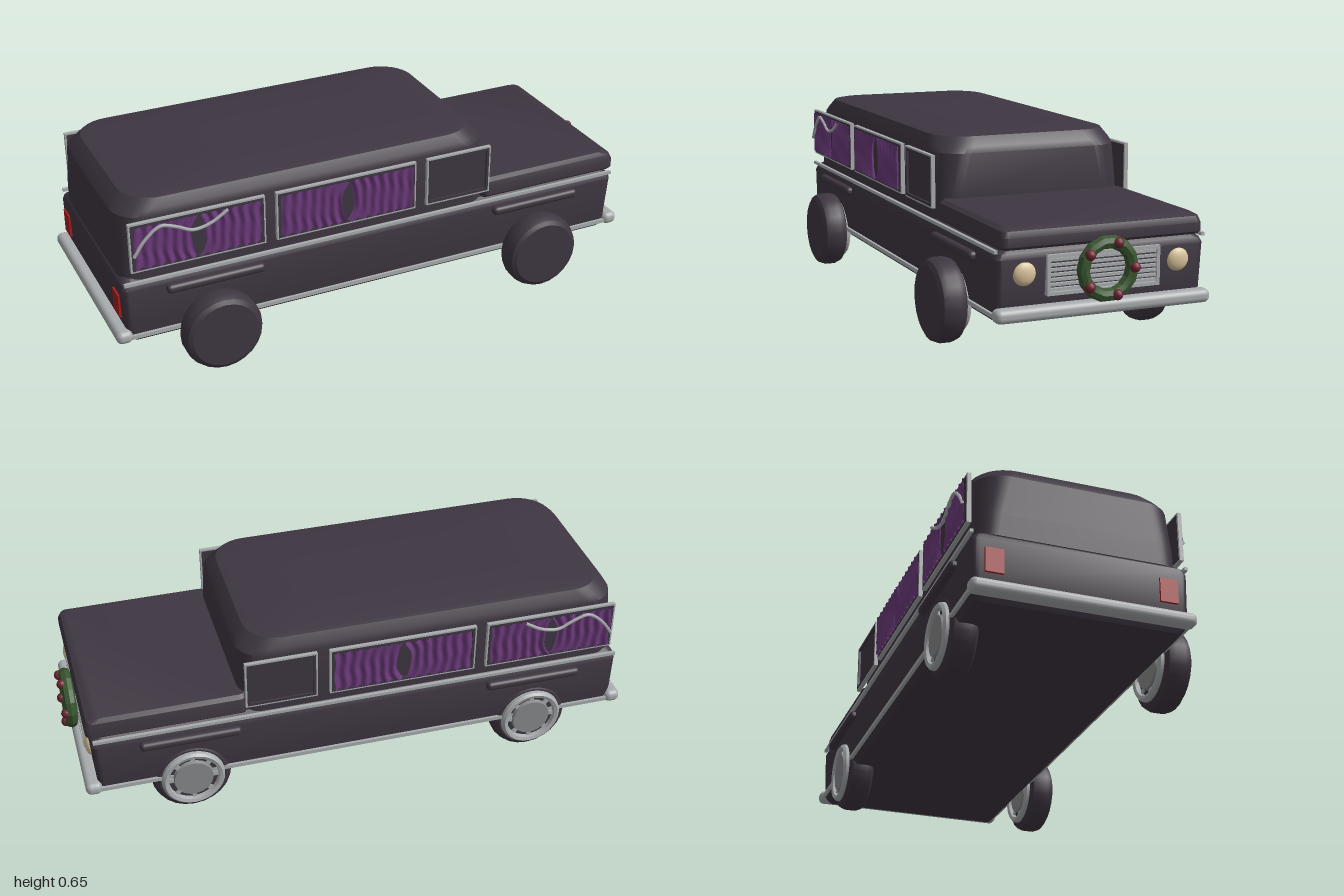
import * as THREE from 'three';
import { toCreasedNormals } from 'three/addons/utils/BufferGeometryUtils.js';
import { RoundedBoxGeometry } from 'three/addons/geometries/RoundedBoxGeometry.js';

const mat = (name, color, extra = {}) => {
  const m = new THREE.MeshStandardMaterial({ color, ...extra });
  m.name = name;
  return m;
};

// Stack of rounded rectangles [y, x0, x1, half depth, corner radius], closed at both ends
function loft(sections, seg = 6) {
  const pos = [], idx = [], n = 4 * (seg + 1);
  for (const [y, x0, x1, hz, r] of sections) {
    const corners = [[x1 - r, hz - r], [x0 + r, hz - r], [x0 + r, r - hz], [x1 - r, r - hz]];
    corners.forEach(([cx, cz], q) => {
      for (let i = 0; i <= seg; i++) {
        const a = (q + i / seg) * Math.PI / 2;
        pos.push(cx + r * Math.cos(a), y, cz + r * Math.sin(a));
      }
    });
  }
  const last = sections.length - 1;
  for (let k = 0; k < last; k++) {
    for (let i = 0; i < n; i++) {
      const a = k * n + i, b = k * n + (i + 1) % n;
      idx.push(a, a + n, b, b, a + n, b + n);
    }
  }
  for (let i = 1; i < n - 1; i++) {
    idx.push(0, i, i + 1, last * n, last * n + i + 1, last * n + i);
  }
  const g = new THREE.BufferGeometry();
  g.setAttribute('position', new THREE.Float32BufferAttribute(pos, 3));
  g.setIndex(idx);
  return toCreasedNormals(g, 0.5);
}

// Rectangular frame centred on the origin, facing z
function frameGeometry(w, h, t, d) {
  const rect = (S, a, b) => new S([[-a, -b], [a, -b], [a, b], [-a, b]].map(p => new THREE.Vector2(...p)));
  const shape = rect(THREE.Shape, w / 2, h / 2);
  shape.holes.push(rect(THREE.Path, w / 2 - t, h / 2 - t));
  return new THREE.ExtrudeGeometry(shape, { depth: d, bevelEnabled: false }).translate(0, 0, -d / 2);
}

// Pleated half curtain, its inner edge pinched in at mid height
function curtainGeometry(w, h, inner, side) {
  const g = new THREE.PlaneGeometry(w, h, 48, 8), p = g.attributes.position;
  for (let i = 0; i < p.count; i++) {
    const x = p.getX(i), y = p.getY(i);
    const u = 0.5 + inner * x / w;
    p.setX(i, x - inner * u * u * 0.026 * Math.cos(Math.PI * y / h) + 0.003 * Math.sin(y * 60 + x * 20));
    p.setZ(i, side * 0.006 * Math.sin(x * 165));
  }
  g.computeVertexNormals();
  return g;
}

export function createModel() {
  const paint = mat('body paint', 0x3e3641);
  const silver = mat('silver trim', 0xa9acae);
  const hubGrey = mat('hub grey', 0x88898b);
  const purple = mat('curtain purple', 0x6b3a7a, { side: THREE.DoubleSide });
  const green = mat('wreath green', 0x38562f);
  const berry = mat('berry red', 0x6c2430);
  const cream = mat('lamp cream', 0xdac59c);
  const red = mat('tail lamp red', 0xa61c1e);

  const root = new THREE.Group();
  root.name = 'car';
  const car = new THREE.Group();
  car.name = 'vehicle';
  car.position.z = -0.0375;
  root.add(car);
  const add = (name, geo, m, x = 0, y = 0, z = 0, parent = car) => {
    const mesh = new THREE.Mesh(geo, m);
    mesh.name = name;
    mesh.position.set(x, y, z);
    parent.add(mesh);
    return mesh;
  };
  const box = (w, h, d) => new THREE.BoxGeometry(w, h, d);

  // Main volumes
  add('lowerBody', loft([
    [0.13, -0.94, 0.912, 0.345, 0.02], [0.15, -0.95, 0.92, 0.36, 0.02],
    [0.2, -0.965, 0.922, 0.364, 0.025], [0.335, -0.968, 0.932, 0.366, 0.025],
    [0.352, -0.964, 0.926, 0.358, 0.025], [0.367, -0.95, 0.91, 0.335, 0.025],
  ]), paint);
  add('cabin', loft([
    [0.36, -0.96, 0.412, 0.346, 0.07], [0.44, -0.96, 0.412, 0.346, 0.08],
    [0.585, -0.957, 0.41, 0.343, 0.11], [0.605, -0.945, 0.4, 0.337, 0.12],
    [0.637, -0.915, 0.37, 0.32, 0.12], [0.642, -0.89, 0.345, 0.3, 0.11],
    [0.646, -0.4, 0.1, 0.1, 0.05],
  ], 8), paint);
  add('hood', loft([
    [0.366, 0.39, 0.935, 0.345, 0.02], [0.375, 0.39, 0.944, 0.354, 0.025],
    [0.405, 0.39, 0.945, 0.352, 0.025], [0.425, 0.39, 0.936, 0.346, 0.025],
    [0.435, 0.39, 0.915, 0.33, 0.025],
  ]), paint);

  // Bumpers
  for (const [name, x] of [['frontBumper', 0.937], ['rearBumper', -0.972]]) {
    add(name, new RoundedBoxGeometry(0.056, 0.046, 0.756, 4, 0.02), silver, x, 0.163, 0);
  }

  // Side windows, trim and handles, on both sides
  for (const s of [1, -1]) {
    add('beltTrim', box(1.885, 0.011, 0.012), silver, -0.018, 0.361, s * 0.364);
    add('sillTrim', box(1.865, 0.014, 0.014), silver, -0.015, 0.158, s * 0.364);
    for (const x of [-0.645, 0.595]) {
      add('sideHandle', new RoundedBoxGeometry(0.35, 0.032, 0.05, 3, 0.014), paint, x, 0.317, s * 0.364);
    }
    for (const [x0, x1, curtained] of [[-0.935, -0.46, true], [-0.42, 0.105, true], [0.148, 0.4, false]]) {
      const win = new THREE.Group(), w = x1 - x0, h = 0.18;
      win.name = 'sideWindow';
      win.position.set((x0 + x1) / 2, 0.495, s * 0.364);
      car.add(win);
      add('windowEdge', frameGeometry(w, h, 0.006, 0.014), silver, 0, 0, 0, win);
      add('windowFrame', frameGeometry(w - 0.012, h - 0.012, 0.009, 0.016), paint, 0, 0, 0, win);
      add('windowPane', box(w - 0.012, h - 0.012, 0.006), paint, 0, 0, -s * 0.003, win);
      if (!curtained) continue;
      const cw = (w - 0.03) / 2;
      for (const e of [1, -1]) {
        add('curtain', curtainGeometry(cw, h - 0.024, -e, s), purple, e * cw / 2, 0, s * 0.011, win);
      }
    }
    // Garland draped over the rear window
    const path = new THREE.CatmullRomCurve3([
      [-0.925, 0.47], [-0.885, 0.525], [-0.83, 0.565], [-0.775, 0.55],
      [-0.72, 0.525], [-0.66, 0.535], [-0.595, 0.572],
    ].map(([x, y]) => new THREE.Vector3(x, y, s * 0.382)));
    add('garland', new THREE.TubeGeometry(path, 40, 0.006, 6), silver);
  }

  // Wheels, each with its hub on the -z face
  const tyre = toCreasedNormals(new THREE.LatheGeometry([
    [0, -0.047], [0.118, -0.047], [0.133, -0.038], [0.141, -0.018],
    [0.141, 0.018], [0.133, 0.038], [0.118, 0.047], [0, 0.047],
  ].map(p => new THREE.Vector2(...p)), 24), 0.5).rotateX(Math.PI / 2);
  const ring = toCreasedNormals(new THREE.LatheGeometry([
    [0.086, 0.044], [0.112, 0.044], [0.11, 0.058], [0.102, 0.066], [0.09, 0.062], [0.086, 0.044],
  ].map(p => new THREE.Vector2(...p)), 32), 0.5).rotateX(-Math.PI / 2);
  const cap = new THREE.CylinderGeometry(0.068, 0.074, 0.02, 28).rotateX(-Math.PI / 2);
  for (const x of [-0.65, 0.595]) {
    for (const z of [0.416, -0.321]) {
      const wheel = new THREE.Group();
      wheel.name = 'wheel';
      wheel.position.set(x, 0.142, z);
      car.add(wheel);
      add('tyre', tyre, paint, 0, 0, 0, wheel);
      add('hubRing', ring, silver, 0, 0, 0, wheel);
      add('hubCap', cap, hubGrey, 0, 0, -0.05, wheel);
      for (let i = 0; i < 8; i++) {
        const a = i * Math.PI / 4;
        const spoke = add('hubSpoke', box(0.024, 0.016, 0.008), silver,
          0.079 * Math.cos(a), 0.079 * Math.sin(a), -0.049, wheel);
        spoke.rotation.z = a;
      }
    }
  }

  // Grille and lamps
  add('grilleFrame', frameGeometry(0.396, 0.13, 0.011, 0.024).rotateY(Math.PI / 2), silver, 0.931, 0.277, 0);
  for (let i = 0; i < 7; i++) {
    add('grilleBar', box(0.016, 0.009, 0.38), silver, 0.931, 0.277 + (i - 3) * 0.0158, 0);
  }
  for (const s of [1, -1]) {
    const lamp = add('headlight', new THREE.SphereGeometry(0.039, 20, 14), cream, 0.926, 0.287, s * 0.27);
    lamp.scale.x = 0.5;
    add('tailLight', box(0.014, 0.085, 0.062), red, -0.967, 0.262, s * 0.293);
  }

  // Wreath with five berries on the grille
  const wreath = new THREE.Group();
  wreath.name = 'wreath';
  wreath.position.set(0.964, 0.288, 0);
  car.add(wreath);
  const torus = new THREE.TorusGeometry(0.086, 0.022, 8, 14).rotateY(Math.PI / 2);
  add('wreathRing', toCreasedNormals(torus, 0.3), green, 0, 0, 0, wreath);
  for (let i = 0; i < 5; i++) {
    const a = i * Math.PI * 2 / 5;
    add('berry', new THREE.SphereGeometry(0.018, 10, 8), berry,
      0.018, 0.087 * Math.sin(a), -0.087 * Math.cos(a), wreath);
  }
  return root;
}
